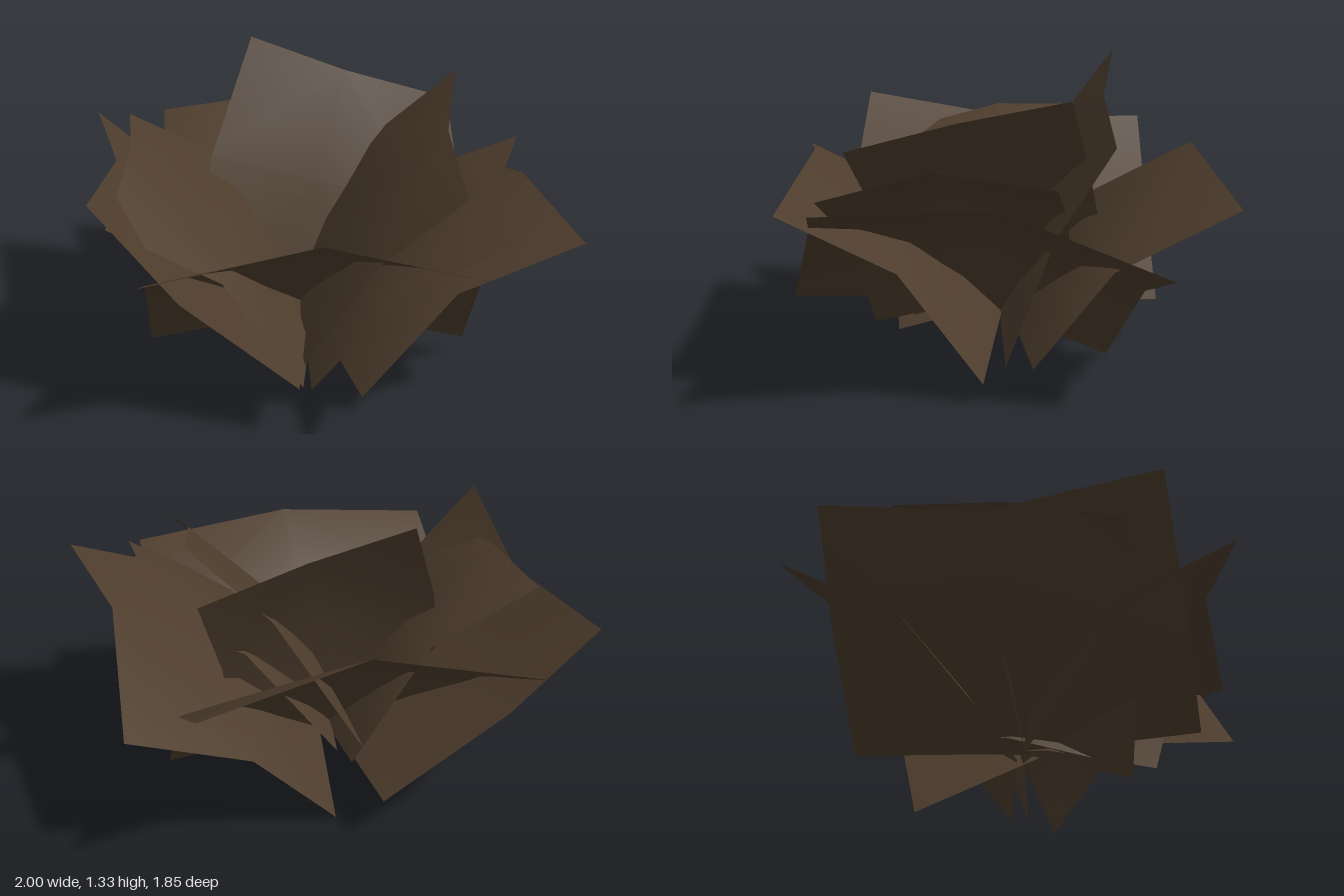
import * as THREE from 'three';

// Each leaf is a folded card: rows run base, bend, tip; each row holds edge, crease, edge.
const LEAVES = {
  frontOuterLeaf: [
    [[-0.75, 0.13, 0.10], [-0.04, 0.20, 0.00], [0.65, 0.09, 0.10]],
    [[-0.74, 0.58, 0.44], [-0.03, 0.65, 0.35], [0.66, 0.56, 0.44]],
    [[-0.74, 0.82, 0.91], [-0.03, 0.93, 0.82], [0.66, 0.80, 0.92]],
  ],
  backOuterLeaf: [
    [[0.70, 0.17, -0.10], [0.00, 0.21, -0.02], [-0.70, 0.14, -0.10]],
    [[0.70, 0.57, -0.42], [0.00, 0.66, -0.34], [-0.70, 0.57, -0.43]],
    [[0.70, 0.82, -0.92], [0.00, 0.95, -0.83], [-0.70, 0.82, -0.93]],
  ],
  leftOuterLeaf: [
    [[0.12, 0.31, 0.91], [-0.02, 0.26, 0.20], [0.04, 0.00, -0.46]],
    [[0.50, 0.70, 0.80], [0.37, 0.68, 0.12], [0.42, 0.41, -0.58]],
    [[1.00, 0.88, 0.75], [0.89, 0.87, 0.04], [0.94, 0.60, -0.63]],
  ],
  rightOuterLeaf: [
    [[-0.10, 0.21, -0.70], [-0.04, 0.22, 0.00], [-0.12, 0.26, 0.76]],
    [[-0.63, 0.56, -0.71], [-0.50, 0.55, -0.03], [-0.59, 0.63, 0.70]],
    [[-1.00, 0.90, -0.71], [-0.87, 0.92, -0.08], [-0.93, 1.04, 0.63]],
  ],
  rightInnerLeaf: [
    [[-0.04, 0.24, -0.42], [-0.02, 0.22, 0.03], [-0.09, 0.08, 0.47]],
    [[-0.38, 0.76, -0.43], [-0.34, 0.74, 0.03], [-0.42, 0.62, 0.52]],
    [[-0.83, 0.99, -0.45], [-0.80, 1.00, 0.00], [-0.88, 0.86, 0.48]],
  ],
  leftUprightLeaf: [
    [[-0.08, 0.15, 0.40], [-0.12, 0.26, -0.04], [-0.08, 0.33, -0.48]],
    [[0.22, 0.70, 0.55], [0.12, 0.77, 0.10], [0.28, 0.91, -0.35]],
    [[0.55, 1.03, 0.65], [0.53, 1.14, 0.20], [0.62, 1.24, -0.25]],
  ],
  leftInnerLeaf: [
    [[-0.06, 0.13, 0.57], [-0.07, 0.22, 0.12], [0.00, 0.25, -0.33]],
    [[0.30, 0.64, 0.68], [0.28, 0.74, 0.22], [0.38, 0.73, -0.25]],
    [[0.73, 0.87, 0.75], [0.75, 0.99, 0.30], [0.90, 0.95, -0.18]],
  ],
  backUprightLeaf: [
    [[0.37, 0.06, 0.00], [-0.10, 0.22, 0.02], [-0.55, 0.36, 0.00]],
    [[0.47, 0.64, -0.20], [0.01, 0.77, -0.14], [-0.46, 0.88, -0.20]],
    [[0.60, 1.05, -0.43], [0.15, 1.19, -0.42], [-0.27, 1.33, -0.50]],
  ],
};

// Skins the three rows of a leaf into a smooth sheet.
function leafGeometry(rows) {
  const geometry = new THREE.BufferGeometry();
  geometry.setAttribute('position', new THREE.Float32BufferAttribute(rows.flat(2), 3));
  const index = [];
  for (let r = 0; r < 2; r++) {
    for (let c = 0; c < 2; c++) {
      const a = r * 3 + c, b = a + 1, d = a + 3, e = a + 4;
      // Mirror the quad diagonals across the crease.
      if (c === 0) index.push(a, b, e, a, e, d);
      else index.push(a, b, d, b, e, d);
    }
  }
  geometry.setIndex(index);
  geometry.computeVertexNormals();
  return geometry;
}

export function createModel() {
  const group = new THREE.Group();
  group.name = 'witheredPlant';
  const driedLeaf = new THREE.MeshStandardMaterial({ color: 0x4e3d2d, side: THREE.DoubleSide });
  driedLeaf.name = 'driedLeafBrown';

  for (const [name, rows] of Object.entries(LEAVES)) {
    const leaf = new THREE.Mesh(leafGeometry(rows), driedLeaf);
    leaf.name = name;
    group.add(leaf);
  }
  return group;
}
